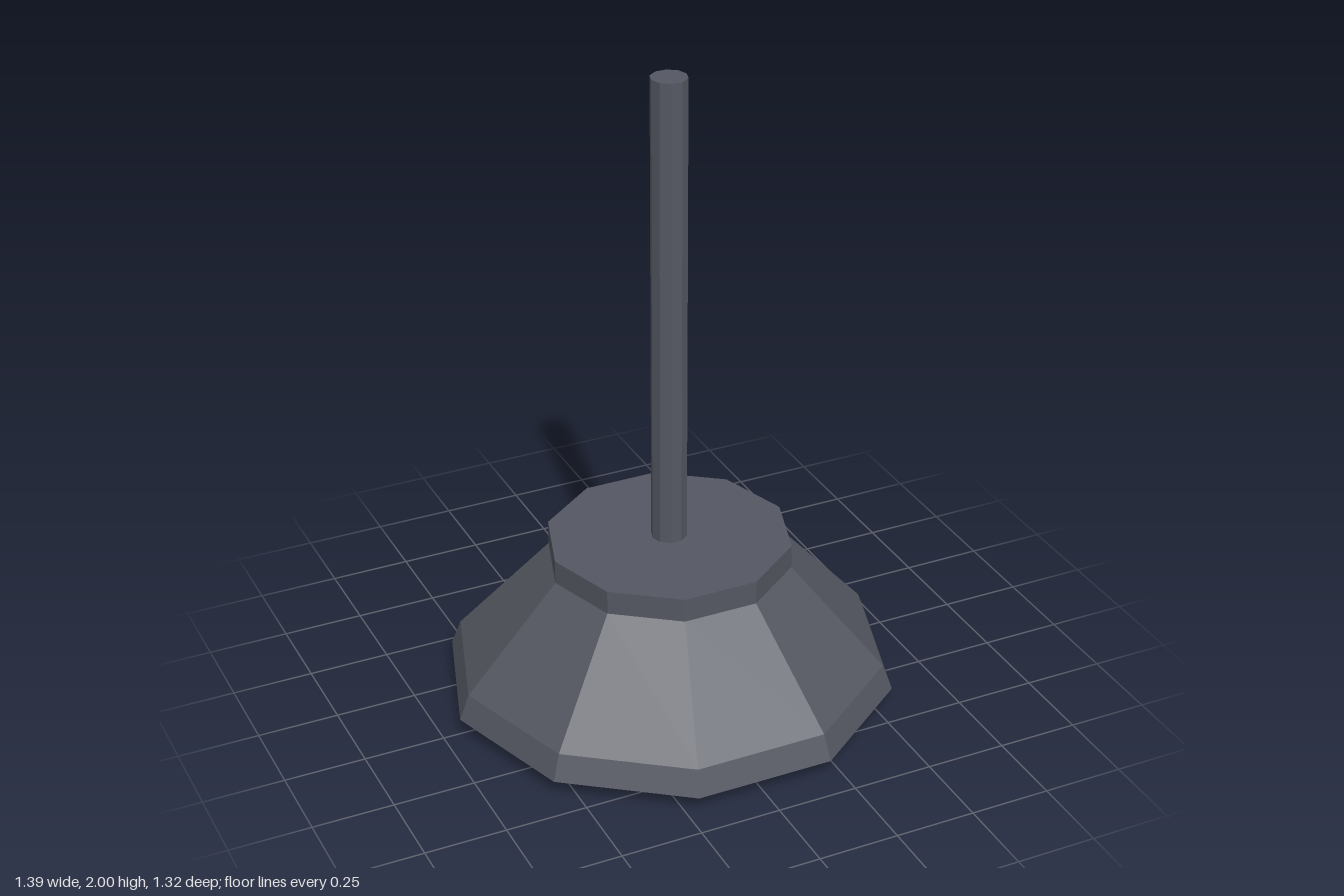
import * as THREE from 'three';

const SIDES = 10;

export function createModel() {
  const group = new THREE.Group();
  group.name = 'pendantLamp';
  const metal = new THREE.MeshStandardMaterial({ color: 0x555862, flatShading: true });

  // Ten-sided solid of revolution with a corner on +x; profile runs up the outside
  const turned = (name, profile) => {
    const points = profile.map(([r, y]) => new THREE.Vector2(r, y));
    const geometry = new THREE.LatheGeometry(points, SIDES, Math.PI / 2);
    const mesh = new THREE.Mesh(geometry, metal);
    mesh.name = name;
    group.add(mesh);
  };

  // Thick faceted shade: outer wall, closed crown, hollow inside, flat rim
  turned('shade', [
    [0.695, 0.05], [0.665, 0.13], [0.375, 0.45], [0, 0.45],
  ]);
  turned('shadeInside', [
    [0, 0.43], [0.21, 0.43], [0.48, 0.13], [0.51, 0.05], [0.695, 0.05],
  ]);

  // Crown plate on top of the shade
  turned('crown', [[0, 0.45], [0.375, 0.45], [0.375, 0.525], [0, 0.525]]);

  // Hanging rod
  turned('rod', [[0.055, 0.525], [0.055, 2], [0, 2]]);

  // Bulb: round below, narrowing to a neck that meets the crown
  turned('bulb', [
    [0, 0], [0.06, 0.014], [0.112, 0.05], [0.148, 0.1], [0.16, 0.16],
    [0.15, 0.22], [0.125, 0.28], [0.1, 0.33], [0.1, 0.43],
  ]);

  return group;
}
